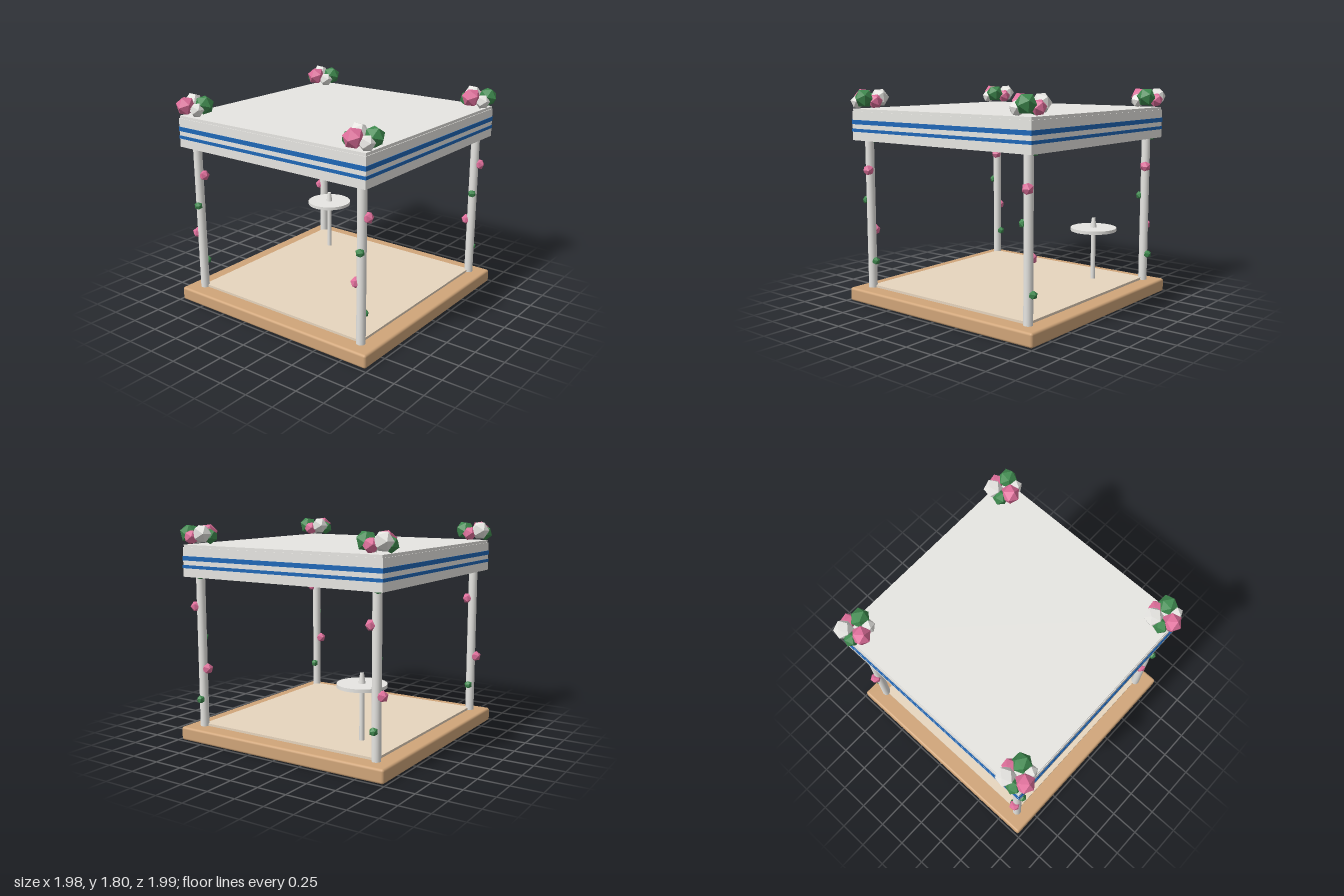
import * as THREE from 'three';
import { RoundedBoxGeometry } from 'three/addons/geometries/RoundedBoxGeometry.js';

const material = (name, color, flatShading = false) => {
  const m = new THREE.MeshStandardMaterial({ color, flatShading });
  m.name = name;
  return m;
};

export function createModel() {
  const white = material('white', 0xefeeea);
  const wood = material('wood', 0xd0a579);
  const sand = material('sand', 0xecdac2);
  const blue = material('blue', 0x1f68b8);
  const pink = material('pink', 0xe0709c, true);
  const green = material('green', 0x3f8a4f, true);
  const petal = material('petalWhite', 0xf1f0ec, true);

  const model = new THREE.Group();
  model.name = 'canopyPavilion';
  model.position.set(0.004, 0, -0.004);

  const add = (parent, name, geometry, mat, x, y, z) => {
    const mesh = new THREE.Mesh(geometry, mat);
    mesh.name = name;
    mesh.position.set(x, y, z);
    parent.add(mesh);
    return mesh;
  };
  const box = (w, h, d) => new THREE.BoxGeometry(w, h, d);

  // Faceted blossoms, each turned a little differently
  const ball = new THREE.IcosahedronGeometry(1, 0);
  let turn = 0;
  const blossom = (parent, name, mat, r, x, y, z) => {
    const mesh = add(parent, name, ball, mat, x, y, z);
    mesh.scale.setScalar(r);
    mesh.rotation.set(turn * 1.3, turn * 0.7, turn * 0.4);
    turn++;
  };

  // Platform and floor
  add(model, 'platform', new RoundedBoxGeometry(1.96, 0.115, 1.96, 3, 0.02), wood, 0, 0.0575, 0);
  add(model, 'floor', box(1.68, 0.02, 1.68), sand, 0, 0.125, 0);

  // Roof sheet
  add(model, 'roof', box(1.86, 0.025, 1.86), white, 0, 1.6325, 0);

  // Four striped valances; the stripes show on both faces
  for (let i = 0; i < 4; i++) {
    const side = new THREE.Group();
    side.name = 'valance';
    side.rotation.y = i * Math.PI / 2;
    model.add(side);
    add(side, 'valancePanel', box(1.872, 0.24, 0.02), white, 0, 1.503, 0.926);
    add(side, 'wideStripe', box(1.88, 0.036, 0.028), blue, 0, 1.535, 0.926);
    add(side, 'narrowStripe', box(1.88, 0.026, 0.028), blue, 0, 1.467, 0.926);
  }

  // Corner cluster: material, radius, x, y, z
  const cluster = [
    [green, 0.082, 0.032, 1.733, 0.075],
    [petal, 0.08, 0.052, 1.735, -0.075],
    [pink, 0.082, -0.082, 1.733, -0.02],
    [green, 0.065, -0.035, 1.71, -0.085],
    [pink, 0.062, 0.088, 1.708, 0.005],
    [petal, 0.062, -0.05, 1.703, 0.072],
  ];
  const post = new THREE.CylinderGeometry(0.037, 0.037, 1.51, 16);
  for (const x of [-1, 1]) for (const z of [-1, 1]) {
    const corner = new THREE.Group();
    corner.name = 'corner';
    corner.position.set(x * 0.84, 0, z * 0.84);
    model.add(corner);
    turn = 1;
    add(corner, 'post', post, white, 0, 0.865, 0);
    // Blossoms winding up the post
    for (let i = 0; i < 5; i++) {
      const a = i * 4.55;
      blossom(corner, 'postBlossom', i % 2 ? pink : green, i % 2 ? 0.048 : 0.036,
        Math.cos(a) * 0.042, 0.35 + i * 0.261, Math.sin(a) * 0.042);
    }
    for (const [mat, r, bx, by, bz] of cluster) blossom(corner, 'roofBlossom', mat, r, bx, by, bz);
  }

  // Small round table with a tapered cup
  const table = new THREE.Group();
  table.name = 'table';
  table.position.set(0.52, 0, -0.52);
  model.add(table);
  add(table, 'tableLeg', new THREE.CylinderGeometry(0.02, 0.02, 0.45, 12), white, 0, 0.355, 0);
  add(table, 'tableTop', new THREE.CylinderGeometry(0.2, 0.2, 0.028, 32), white, 0, 0.582, 0);
  add(table, 'cup', new THREE.CylinderGeometry(0.015, 0.028, 0.084, 12), white, 0, 0.638, 0);

  return model;
}
